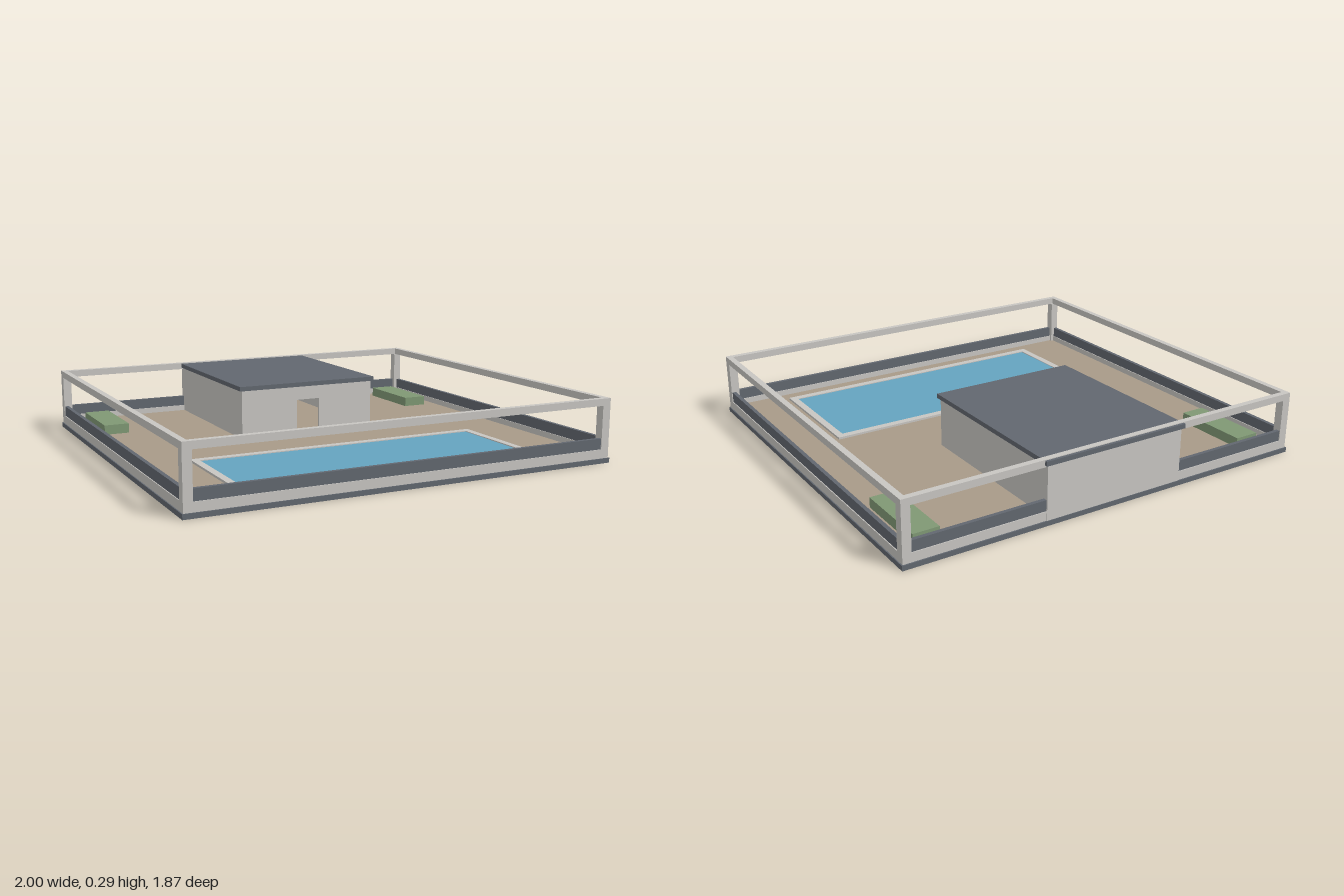
import * as THREE from 'three';

const mat = (name, color) => {
  const m = new THREE.MeshStandardMaterial({ color });
  m.name = name;
  return m;
};

export function createModel() {
  const slate = mat('slate', 0x61676f);
  const concrete = mat('concrete', 0xc7c5c1);
  const earth = mat('earth', 0xa89a88);
  const water = mat('water', 0x65a3bf);
  const hedge = mat('hedge', 0x7f9874);

  const model = new THREE.Group();
  model.name = 'walledVilla';

  // Box given by its minimum and maximum on each axis
  const box = (name, m, x0, x1, y0, y1, z0, z1, parent = model) => {
    const mesh = new THREE.Mesh(new THREE.BoxGeometry(x1 - x0, y1 - y0, z1 - z0), m);
    mesh.name = name;
    mesh.position.set((x0 + x1) / 2, (y0 + y1) / 2, (z0 + z1) / 2);
    parent.add(mesh);
    return mesh;
  };

  const rect = (Type, x0, x1, y0, y1) => {
    const p = new Type();
    p.moveTo(x0, y0).lineTo(x1, y0).lineTo(x1, y1).lineTo(x0, y1).closePath();
    return p;
  };

  // Horizontal sheet with rectangular openings [x0, x1, z0, z1]
  const sheet = (name, m, area, y0, y1, openings, parent = model) => {
    const shape = rect(THREE.Shape, area[0], area[1], -area[3], -area[2]);
    for (const o of openings) shape.holes.push(rect(THREE.Path, o[0], o[1], -o[3], -o[2]));
    const geo = new THREE.ExtrudeGeometry(shape, { depth: y1 - y0, bevelEnabled: false });
    geo.rotateX(-Math.PI / 2).translate(0, y0, 0);
    const mesh = new THREE.Mesh(geo, m);
    mesh.name = name;
    parent.add(mesh);
  };

  // Concrete slab with a slate skirt; the long opening goes right through the floor
  const longOpening = [-0.333, -0.155, -0.892, -0.3];
  const smallOpening = [0.1, 0.31, -0.875, -0.655];
  const slabArea = [-0.994, 0.994, -0.922, 0.929];
  sheet('foundationSlab', concrete, slabArea, 0, 0.03, [longOpening, smallOpening]);
  sheet('slabSkirt', slate, [-1, 1, -0.928, 0.935], 0, 0.022, [slabArea]);
  sheet('yardFloor', earth, [-0.985, 0.985, -0.913, 0.92], 0.03, 0.036, [longOpening]);

  // Perimeter fence: kerb, slate panel, open gap and top rail
  const fence = new THREE.Group();
  fence.name = 'perimeterFence';
  fence.position.z = 0.004;
  model.add(fence);
  const X = 0.995, Z = 0.926;
  const ring = (name, m, inset, width, y0, y1) => {
    const x = X - inset, z = Z - inset;
    sheet(name, m, [-x, x, -z, z], y0, y1, [[-x + width, x - width, -z + width, z - width]], fence);
  };
  ring('kerb', concrete, 0, 0.026, 0.022, 0.063);
  ring('lowPanel', slate, 0.004, 0.018, 0.063, 0.112);
  ring('topRail', concrete, 0, 0.028, 0.26, 0.292);
  for (const sx of [-1, 1]) {
    for (const sz of [-1, 1]) {
      const post = box('cornerPost', concrete, -0.02, 0.02, 0.022, 0.26, -0.02, 0.02, fence);
      post.position.x = sx * (X - 0.02);
      post.position.z = sz * (Z - 0.02);
    }
  }

  // House with a doorway in its front wall
  const house = new THREE.Group();
  house.name = 'house';
  model.add(house);
  const wallTop = 0.268, back = -0.925, front = -0.077, t = 0.012;
  box('backWall', concrete, -0.345, 0.345, 0.022, wallTop, back, back + 0.03, house);
  for (const s of [-1, 1]) {
    const side = box('sideWall', concrete, -t / 2, t / 2, 0.03, wallTop, back + 0.03, front - t, house);
    side.position.x = s * (0.345 - t / 2);
  }
  const facade = new THREE.Shape();
  facade.moveTo(-0.345, 0.03).lineTo(-0.06, 0.03).lineTo(-0.06, 0.203).lineTo(0.06, 0.203)
    .lineTo(0.06, 0.03).lineTo(0.345, 0.03).lineTo(0.345, wallTop).lineTo(-0.345, wallTop).closePath();
  const frontWall = new THREE.Mesh(
    new THREE.ExtrudeGeometry(facade, { depth: t, bevelEnabled: false }), concrete);
  frontWall.name = 'frontWall';
  frontWall.position.z = front - t;
  house.add(frontWall);
  box('flatRoof', slate, -0.357, 0.357, wallTop, 0.289, -0.935, -0.067, house);

  // Pool with a raised rim
  const pool = new THREE.Group();
  pool.name = 'pool';
  model.add(pool);
  sheet('poolRim', concrete, [-0.719, 0.719, 0.232, 0.831], 0.036, 0.046,
    [[-0.685, 0.685, 0.267, 0.797]], pool);
  box('poolWater', water, -0.685, 0.685, 0.036, 0.042, 0.267, 0.797, pool);

  // Planting beds in the back corners
  for (const s of [-1, 1]) {
    const bed = box('plantingBed', hedge, -0.06, 0.06, 0.036, 0.082, -0.829, -0.463);
    bed.position.x = s * 0.842;
  }

  return model;
}
